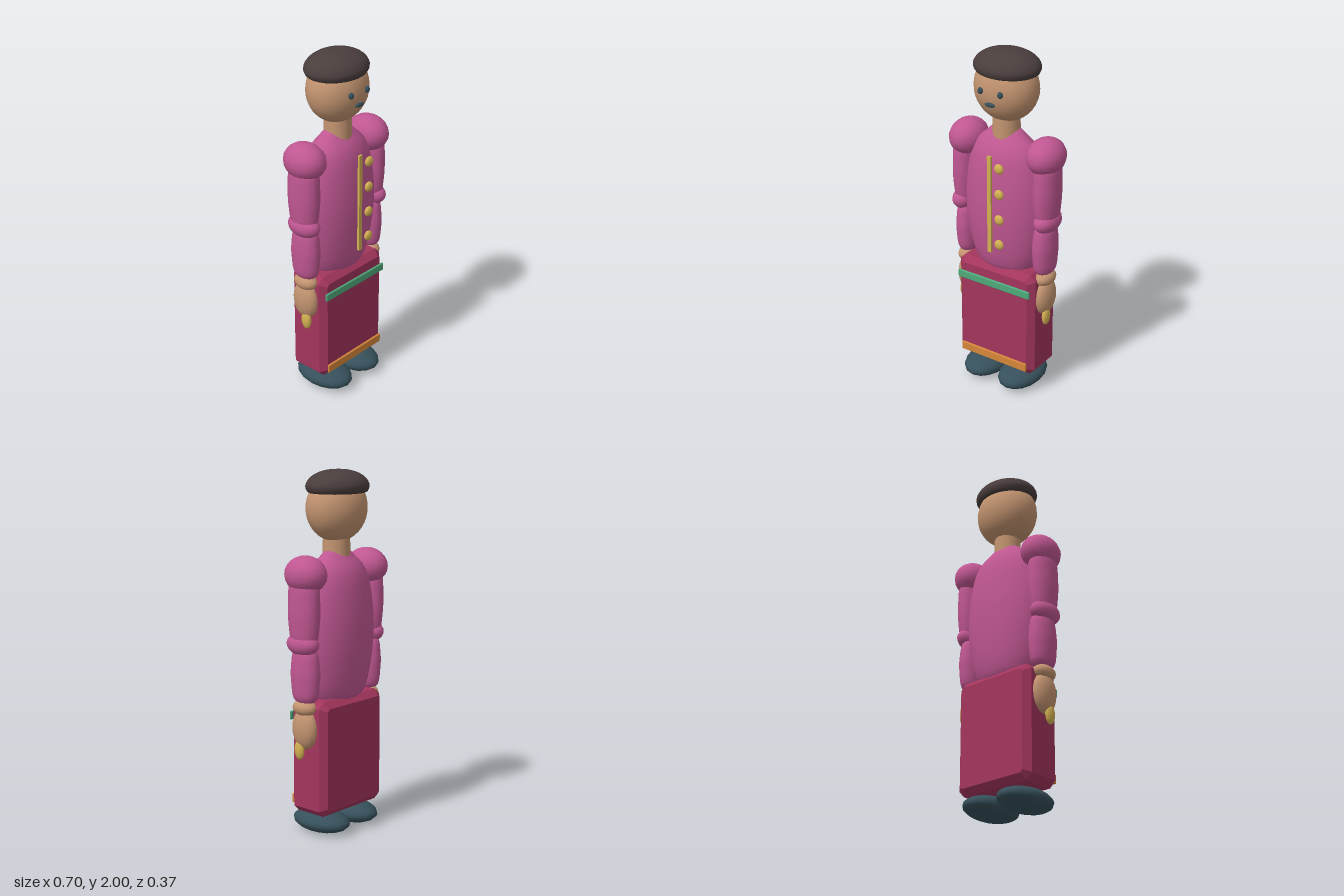
import * as THREE from 'three';

const paint = (name, color) => {
  const m = new THREE.MeshStandardMaterial({ color });
  m.name = name;
  return m;
};

export function createModel() {
  const skin = paint('skin', 0xc39470);
  const jacket = paint('jacket pink', 0xc05792);
  const crimson = paint('deep crimson', 0xa3355d);
  const hairBrown = paint('dark brown', 0x4a3e3d);
  const slate = paint('slate blue', 0x36505b);
  const gold = paint('gold', 0xd3b152);
  const green = paint('green', 0x4fa97b);
  const orange = paint('orange', 0xd6863a);

  const root = new THREE.Group();
  root.name = 'figure';

  const add = (name, geometry, material, x = 0, y = 0, z = 0) => {
    const mesh = new THREE.Mesh(geometry, material);
    mesh.name = name;
    mesh.position.set(x, y, z);
    root.add(mesh);
  };
  const ball = (name, material, pos, radii, w = 20, h = 14) =>
    add(name, new THREE.SphereGeometry(1, w, h).scale(...radii), material, ...pos);
  // Turned profile of [radius, y] points from bottom to top, scaled in z
  const turned = (name, material, pts, zScale, x, z, segments) => {
    const curve = new THREE.SplineCurve(pts.map(p => new THREE.Vector2(...p)));
    const profile = curve.getPoints(24).map(p => new THREE.Vector2(Math.max(p.x, 0), p.y));
    add(name, new THREE.LatheGeometry(profile, segments).scale(1, 1, zScale), material, x, 0, z);
  };
  // Box with every edge cut by a flat chamfer c
  const chamferBox = (name, material, w, h, d, c, x, y, z) => {
    const a = w / 2, b = h / 2;
    const outline = new THREE.Shape([
      [c - a, -b], [a - c, -b], [a, c - b], [a, b - c], [a - c, b], [c - a, b], [-a, b - c], [-a, c - b],
    ].map(p => new THREE.Vector2(...p)));
    const g = new THREE.ExtrudeGeometry(outline, {
      depth: d - 2 * c, bevelEnabled: true, bevelThickness: c, bevelSize: c, bevelOffset: -c, bevelSegments: 1,
    });
    add(name, g.translate(0, 0, c - d / 2), material, x, y, z);
  };

  // Head, cap of hair and neck
  ball('head', skin, [0, 1.795, -0.007], [0.183, 0.185, 0.155], 28, 20);
  turned('hair', hairBrown, [[0.145, 1.872], [0.172, 1.878], [0.184, 1.893], [0.188, 1.917],
    [0.169, 1.95], [0.124, 1.979], [0.063, 1.996], [0, 2]], 0.845, 0, -0.013, 28);
  add('neck', new THREE.CylinderGeometry(0.074, 0.078, 0.16, 20), skin, 0, 1.56, -0.005);

  // Face
  for (const s of [-1, 1]) {
    ball(s > 0 ? 'leftEye' : 'rightEye', slate, [s * 0.062, 1.805, 0.144], [0.016, 0.018, 0.013], 12, 8);
  }
  ball('mouth', slate, [0, 1.739, 0.147], [0.033, 0.012, 0.011], 12, 8);

  // Jacket body
  turned('torso', jacket, [[0, 0.7], [0.1, 0.715], [0.187, 0.78], [0.232, 0.94], [0.25, 1.1],
    [0.244, 1.25], [0.216, 1.4], [0.175, 1.48], [0.125, 1.526], [0.072, 1.57], [0, 1.575]], 0.628, 0, -0.01, 28);

  // Jacket trim and buttons
  add('placket', new THREE.BoxGeometry(0.024, 0.57, 0.013), gold, 0, 1.168, 0.155);
  for (const y of [0.947, 1.097, 1.247, 1.397]) ball('button', gold, [0.065, y, 0.161], [0.029, 0.029, 0.016], 12, 8);

  // Skirt with two bands
  chamferBox('skirt', crimson, 0.504, 0.645, 0.254, 0.035, 0, 0.448, -0.01);
  chamferBox('upperBand', green, 0.476, 0.048, 0.014, 0.005, 0, 0.664, 0.124);
  chamferBox('hemBand', orange, 0.442, 0.05, 0.014, 0.003, 0, 0.187, 0.123);

  // Arms, hands and shoes, mirrored
  for (const s of [-1, 1]) {
    const side = s > 0 ? 'left' : 'right';
    ball(side + 'Shoulder', jacket, [s * 0.25, 1.457, -0.01], [0.102, 0.102, 0.126], 18, 12);
    turned(side + 'UpperArm', jacket, [[0, 1.06], [0.052, 1.08], [0.068, 1.18], [0.071, 1.3],
      [0.06, 1.42], [0, 1.45]], 1.38, s * 0.262, -0.008, 18);
    ball(side + 'Elbow', jacket, [s * 0.269, 1.085, -0.004], [0.065, 0.064, 0.103], 18, 12);
    turned(side + 'Forearm', jacket, [[0, 0.755], [0.05, 0.78], [0.063, 0.88], [0.063, 0.96],
      [0.05, 1.05], [0, 1.08]], 1.42, s * 0.254, -0.008, 18);
    ball(side + 'Wrist', skin, [s * 0.259, 0.733, -0.006], [0.053, 0.045, 0.076], 16, 10);
    ball(side + 'Hand', skin, [s * 0.257, 0.616, -0.007], [0.052, 0.115, 0.084], 16, 12);
    ball(side + 'GoldTip', gold, [s * 0.28, 0.5, 0.014], [0.02, 0.057, 0.033], 12, 10);
    ball(side + 'Shoe', slate, [s * 0.118, 0.0625, 0], [0.122, 0.0625, 0.183], 16, 12);
  }
  return root;
}
